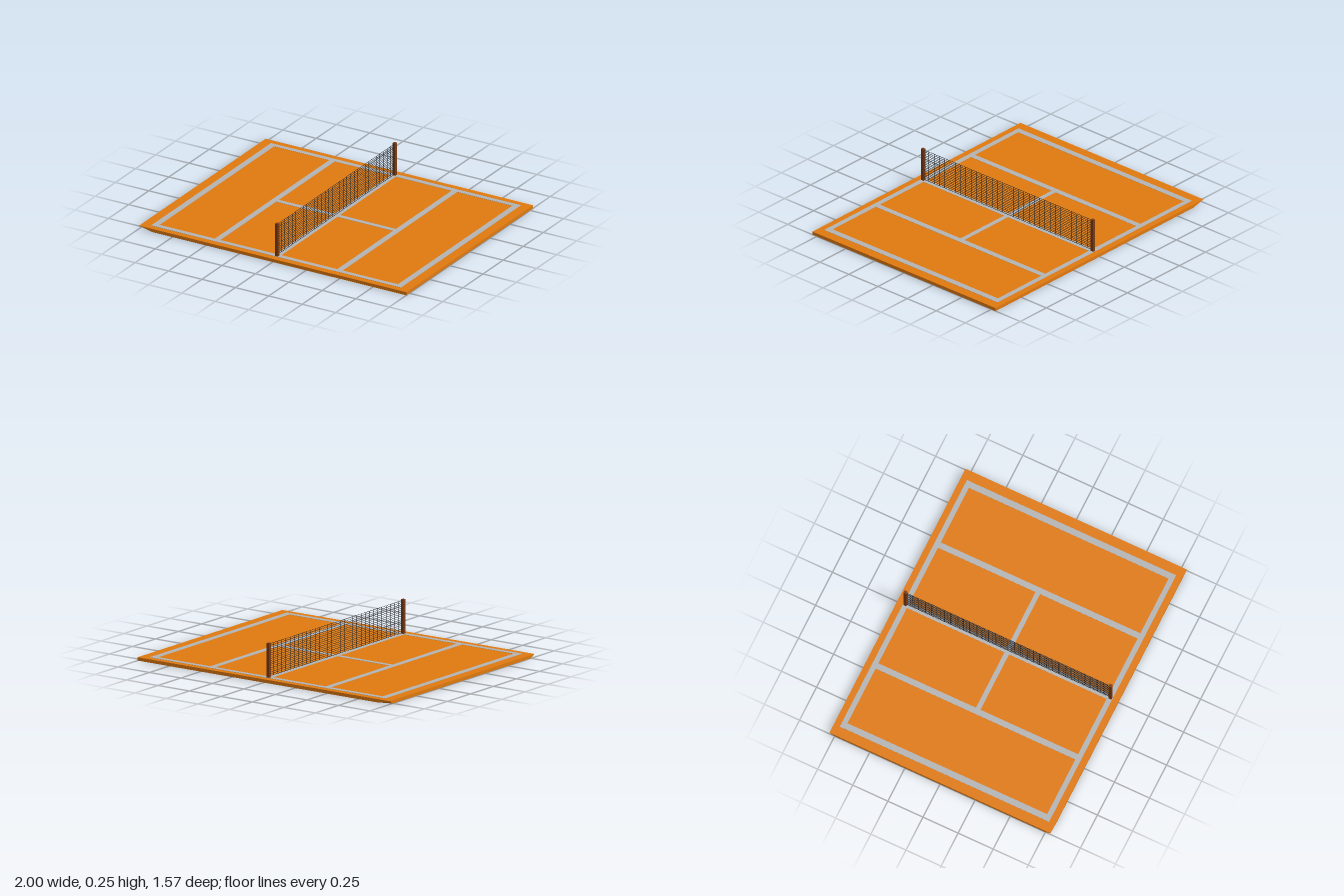
import * as THREE from 'three';
import { ConvexGeometry } from 'three/addons/geometries/ConvexGeometry.js';

export function createModel() {
  const group = new THREE.Group();
  group.name = 'tennisCourt';

  const clay = new THREE.MeshStandardMaterial({ color: 0xe07a10, flatShading: true });
  const paint = new THREE.MeshStandardMaterial({ color: 0xb4b4b4 });
  const wood = new THREE.MeshStandardMaterial({ color: 0x7a3a10 });
  const cord = new THREE.MeshStandardMaterial({ color: 0x20242c });

  function box(parent, name, material, size, position) {
    const mesh = new THREE.Mesh(new THREE.BoxGeometry(...size), material);
    mesh.name = name;
    mesh.position.set(...position);
    parent.add(mesh);
  }

  // Clay slab, its two lower corners at -x cut off
  const top = 0.022, halfZ = 0.787;
  const corners = [];
  for (const s of [-1, 1]) {
    corners.push(
      new THREE.Vector3(-1, top, s * halfZ), new THREE.Vector3(1, top, s * halfZ),
      new THREE.Vector3(1, 0, s * halfZ), new THREE.Vector3(-0.9, 0, s * halfZ),
      new THREE.Vector3(-1, 0, s * 0.752));
  }
  const slab = new THREE.Mesh(new ConvexGeometry(corners), clay);
  slab.name = 'slab';
  group.add(slab);

  // Painted lines, just proud of the clay
  const lines = new THREE.Group();
  lines.name = 'courtLines';
  group.add(lines);
  const lineY = top + 0.0005, lineH = 0.002;
  for (const s of [-1, 1]) {
    box(lines, 'sideLine', paint, [1.87, lineH, 0.034], [0, lineY, s * 0.728]);
    box(lines, 'baseLine', paint, [0.042, lineH, 1.422], [s * 0.913, lineY, 0]);
    box(lines, 'serviceLine', paint, [0.04, lineH, 1.422], [s * 0.458, lineY, 0]);
    box(lines, 'centreServiceLine', paint, [0.42, lineH, 0.032], [s * 0.229, lineY, 0]);
  }
  box(lines, 'netLine', paint, [0.038, lineH, 1.422], [0, lineY, 0]);

  // Net posts
  for (const s of [-1, 1]) {
    box(group, 'netPost', wood, [0.02, 0.23, 0.022], [0, 0.135, s * 0.73]);
  }

  // Net of thin crossing cords
  const net = new THREE.Group();
  net.name = 'net';
  group.add(net);
  const netBottom = 0.03, netTop = 0.243, netHalf = 0.725, t = 0.002;
  const rows = 17, columns = 32;
  for (let i = 0; i <= rows; i++) {
    const y = THREE.MathUtils.lerp(netBottom, netTop, i / rows);
    box(net, 'netRow', cord, [t, t, 2 * netHalf], [0, y, 0]);
  }
  for (let i = 0; i <= columns; i++) {
    const z = THREE.MathUtils.lerp(-netHalf, netHalf, i / columns);
    box(net, 'netColumn', cord, [t, netTop - netBottom, t], [0, (netTop + netBottom) / 2, z]);
  }

  return group;
}
